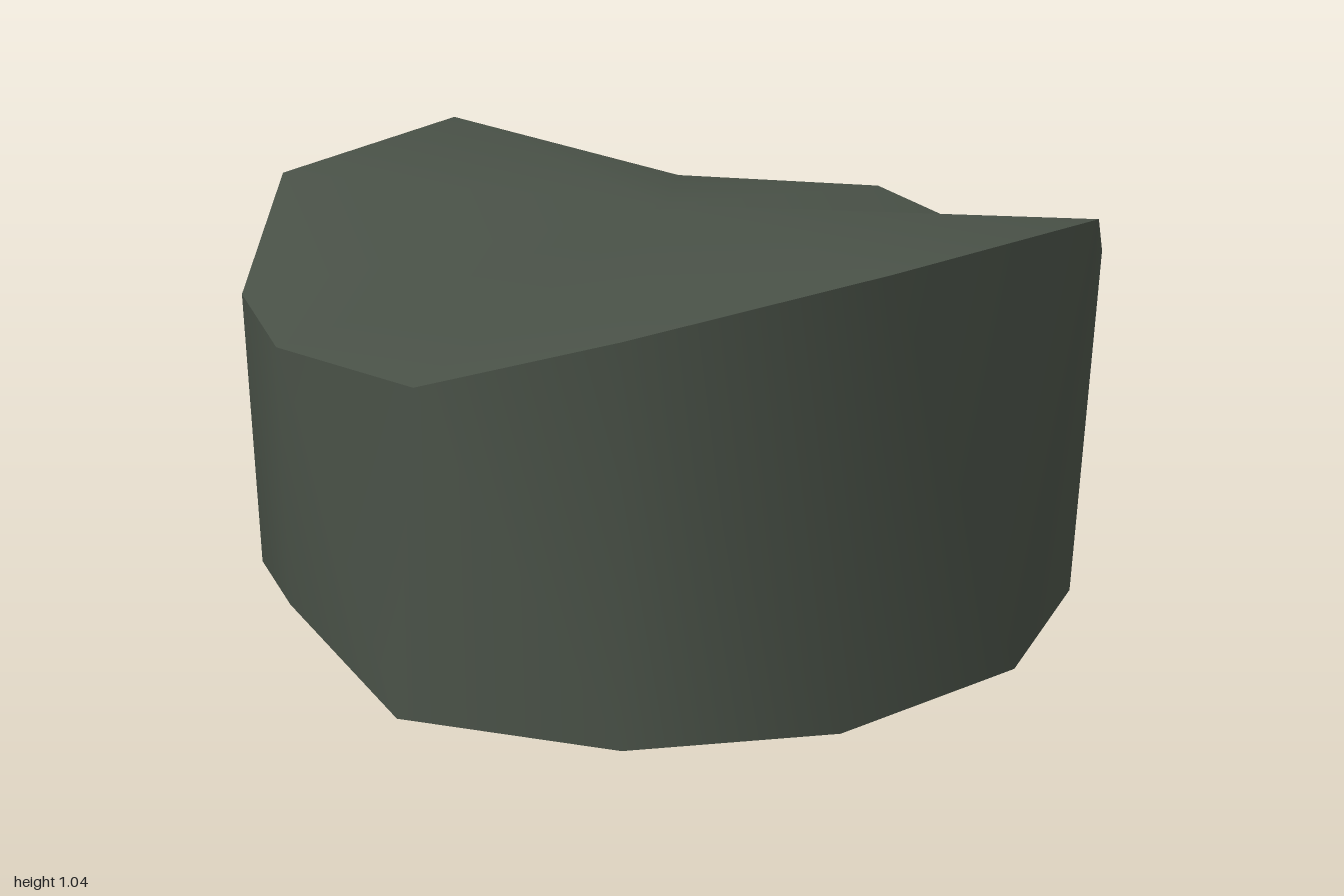
import * as THREE from 'three';

// Each column of the boulder: upper corner, lower corner
const columns = [
  [[-0.24, 1.04, -1.0], [-0.22, 0.08, -0.84]],
  [[0.27, 0.9, -0.88], [0.24, 0.07, -0.79]],
  [[0.67, 0.9, -0.6], [0.69, 0, -0.615]],
  [[0.84, 0.82, -0.16], [0.8, 0.155, -0.16]],
  [[0.855, 0.89, 0.31], [0.805, 0.16, 0.3]],
  [[0.65, 1.04, 0.79], [0.53, 0.12, 0.7]],
  [[0.16, 0.99, 1.0], [0.1, 0.08, 0.9]],
  [[-0.33, 0.865, 0.88], [-0.33, 0.075, 0.88]],
  [[-0.66, 0.735, 0.57], [-0.71, 0.09, 0.61]],
  [[-0.86, 0.75, 0.18], [-0.84, 0.21, 0.16]],
  [[-0.86, 0.78, -0.26], [-0.83, 0.195, -0.26]],
  [[-0.69, 0.965, -0.73], [-0.65, 0.05, -0.62]],
];
const N = columns.length;

function smoothGeometry(points, index) {
  const g = new THREE.BufferGeometry();
  g.setAttribute('position', new THREE.Float32BufferAttribute(points.flat(), 3));
  g.setIndex(index);
  g.computeVertexNormals();
  return g;
}

// Fan from a centre point to one ring of corners
function cap(centre, level) {
  const index = [];
  for (let i = 0; i < N; i++) {
    const a = 1 + i, b = 1 + (i + 1) % N;
    index.push(0, ...(level === 0 ? [b, a] : [a, b]));
  }
  return smoothGeometry([centre, ...columns.map((c) => c[level])], index);
}

// Smooth run of wall between two sharp vertical edges
function wall(from, to) {
  const points = [], index = [];
  for (let i = from; i <= to; i++) points.push(...columns[i % N]);
  for (let k = 0; k < to - from; k++) {
    const t = 2 * k, b = t + 1, t2 = t + 2, b2 = t + 3;
    index.push(t2, b2, b, t2, b, t);
  }
  return smoothGeometry(points, index);
}

export function createModel() {
  const stone = new THREE.MeshStandardMaterial({ color: 0x485046 });
  stone.name = 'mossy grey stone';
  const group = new THREE.Group();
  group.name = 'boulder';
  const add = (name, geometry) => {
    const mesh = new THREE.Mesh(geometry, stone);
    mesh.name = name;
    group.add(mesh);
  };
  add('top', cap([0, 0.975, 0], 0));
  add('underside', cap([0, 0.1, 0], 1));
  add('frontWall', wall(2, 11));
  add('backWall', wall(11, N + 2));
  return group;
}
